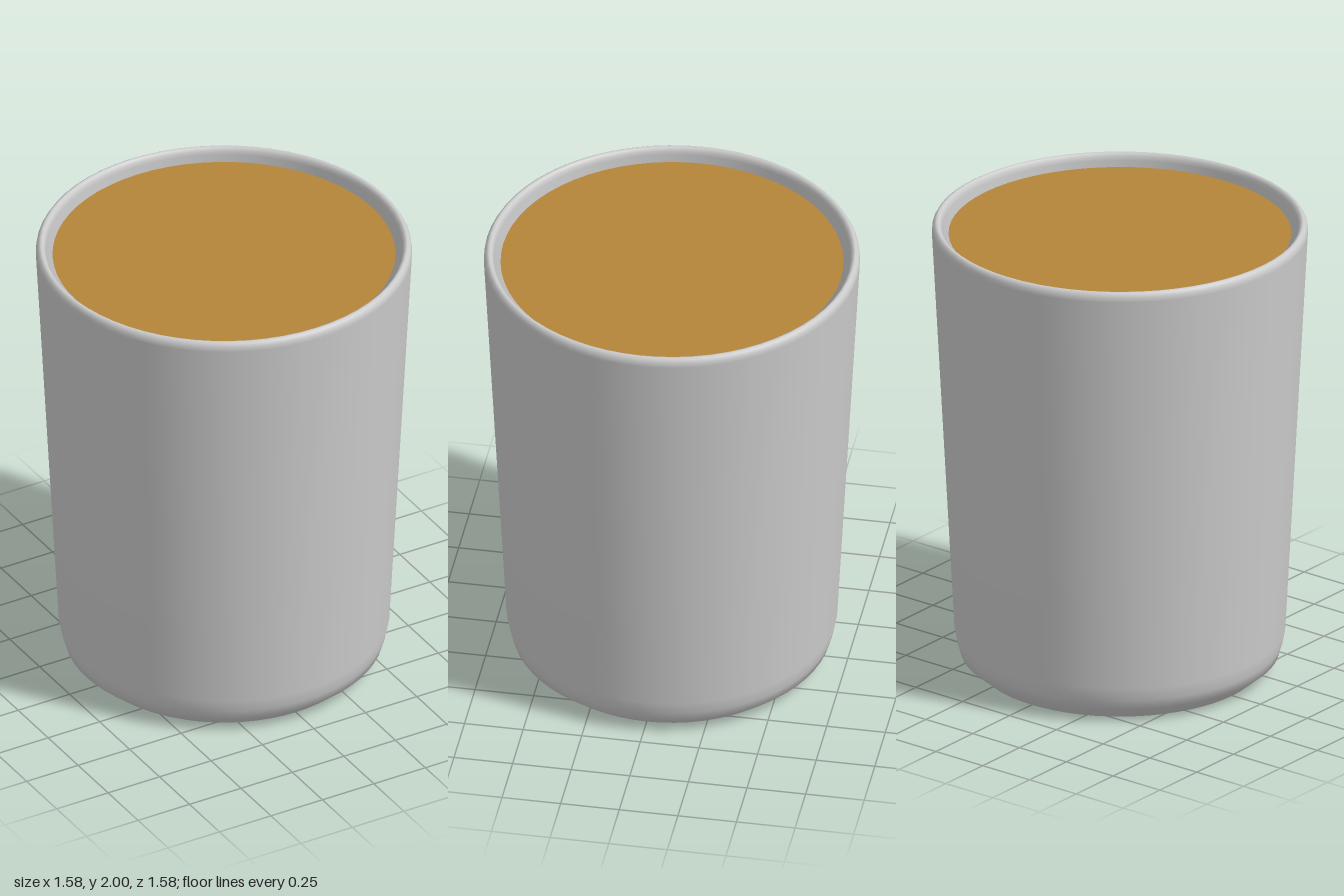
import * as THREE from 'three';

const SEGMENTS = 64;

// Revolve a list of [radius, height] pairs around the y axis
function revolve(name, profile, material) {
  const points = profile.map(([r, y]) => new THREE.Vector2(r, y));
  const mesh = new THREE.Mesh(new THREE.LatheGeometry(points, SEGMENTS), material);
  mesh.name = name;
  return mesh;
}

// Flat disc facing up or down
function disc(name, radius, y, facing, material) {
  const mesh = new THREE.Mesh(new THREE.CircleGeometry(radius, SEGMENTS), material);
  mesh.name = name;
  mesh.rotation.x = -facing * Math.PI / 2;
  mesh.position.y = y;
  return mesh;
}

export function createModel() {
  const model = new THREE.Group();
  model.name = 'cup';
  const ceramic = new THREE.MeshStandardMaterial({ color: 0xcccccc });
  const drink = new THREE.MeshStandardMaterial({ color: 0xb5853a });

  // Tapered outer wall with a bevelled foot, rolled over a rounded rim
  model.add(revolve('outerWall', [
    [0.6, 0], [0.67, 0.06], [0.683, 0.105], [0.695, 0.165],
    [0.79, 1.96], [0.788, 1.98], [0.78, 1.994], [0.77, 2],
    [0.76, 1.997], [0.752, 1.985], [0.75, 1.97],
  ], ceramic));

  // Inside of the cup
  model.add(revolve('innerWall', [
    [0.75, 1.97], [0.735, 1.8], [0.65, 0.18], [0.62, 0.1], [0.56, 0.07],
  ], ceramic));
  model.add(disc('innerFloor', 0.56, 0.07, 1, ceramic));

  // Flat underside
  model.add(disc('base', 0.6, 0, -1, ceramic));

  // Drink surface just below the rim
  model.add(disc('drinkSurface', 0.72, 1.95, 1, drink));

  return model;
}
